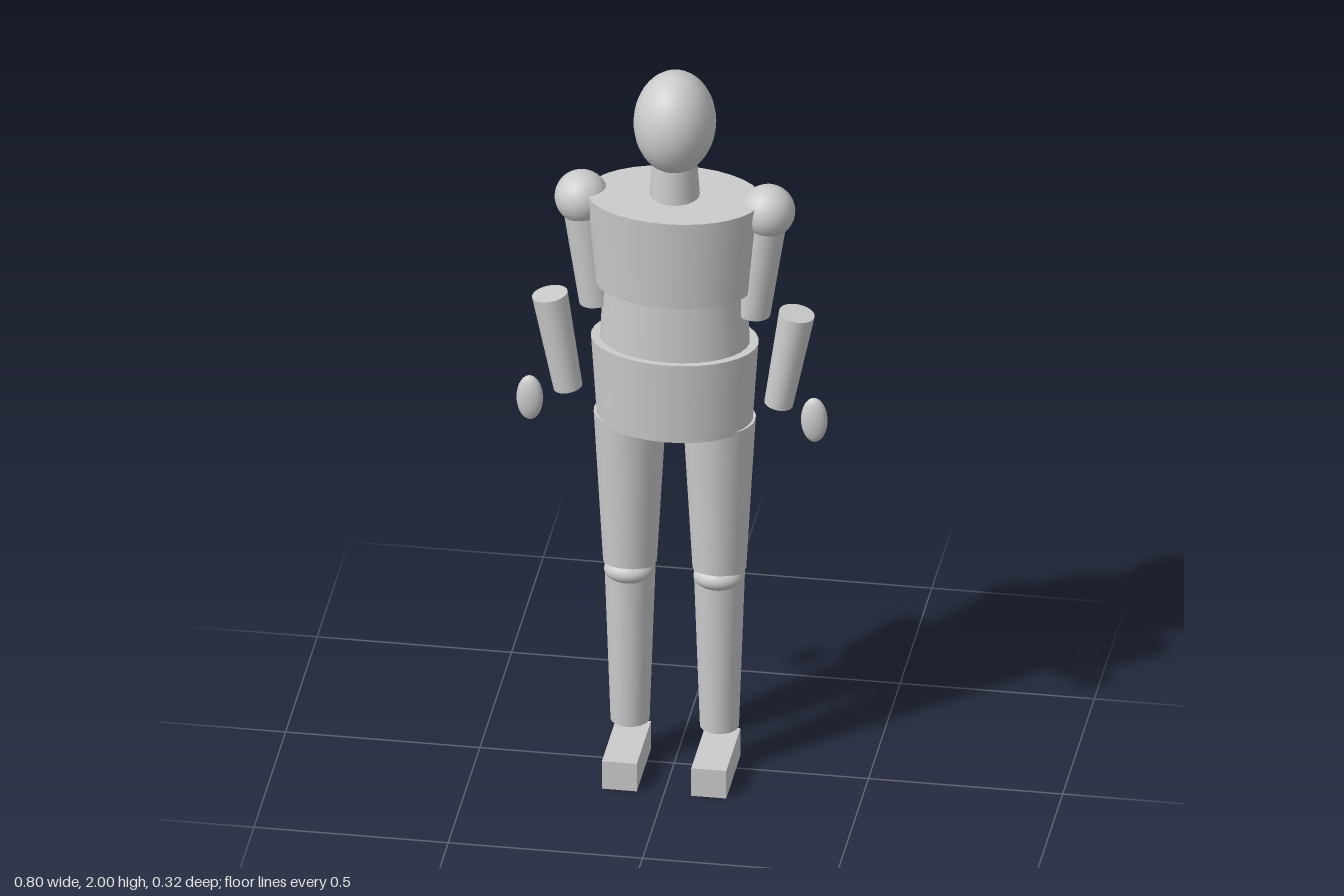
import * as THREE from 'three';

const material = new THREE.MeshStandardMaterial({ color: 0xcccccc });

function add(group, name, geometry, x, y, z) {
  const mesh = new THREE.Mesh(geometry, material);
  mesh.name = name;
  mesh.position.set(x, y, z);
  group.add(mesh);
  return mesh;
}

// Ellipsoid with radii rx, ry, rz
function ellipsoid(group, name, [x, y, z], [rx, ry, rz]) {
  const geometry = new THREE.SphereGeometry(1, 32, 20).scale(rx, ry, rz);
  return add(group, name, geometry, x, y, z);
}

// Upright tapered oval block; depth is the z radius divided by the x radius
function ovalBlock(group, name, yBottom, yTop, rBottom, rTop, depth, z) {
  const geometry = new THREE.CylinderGeometry(rTop, rBottom, yTop - yBottom, 32);
  geometry.scale(1, 1, depth);
  return add(group, name, geometry, 0, (yBottom + yTop) / 2, z);
}

// Tapered limb running between two points
function limb(group, name, bottom, top, rBottom, rTop) {
  const a = new THREE.Vector3(...bottom);
  const b = new THREE.Vector3(...top);
  const axis = b.clone().sub(a);
  const geometry = new THREE.CylinderGeometry(rTop, rBottom, axis.length(), 24);
  const mid = a.add(b).multiplyScalar(0.5);
  const mesh = add(group, name, geometry, mid.x, mid.y, mid.z);
  mesh.quaternion.setFromUnitVectors(new THREE.Vector3(0, 1, 0), axis.normalize());
  return mesh;
}

export function createModel() {
  const model = new THREE.Group();
  model.name = 'mannequin';

  // Head and torso
  ellipsoid(model, 'head', [0, 1.863, -0.011], [0.105, 0.137, 0.117]);
  ovalBlock(model, 'neck', 1.64, 1.77, 0.065, 0.056, 1, -0.008);
  ovalBlock(model, 'chest', 1.4, 1.655, 0.202, 0.225, 0.68, 0);
  ovalBlock(model, 'waist', 1.22, 1.41, 0.193, 0.183, 0.7, -0.011);
  ovalBlock(model, 'pelvis', 1.005, 1.235, 0.2, 0.215, 0.695, -0.011);

  // Arms and legs, mirrored on x
  for (const [side, s] of [['left', 1], ['right', -1]]) {
    const arm = new THREE.Group();
    arm.name = side + 'Arm';
    ellipsoid(arm, 'shoulder', [s * 0.24, 1.624, -0.012], [0.069, 0.069, 0.069]);
    limb(arm, 'upperArm', [s * 0.2, 1.326, -0.011], [s * 0.239, 1.624, -0.011], 0.046, 0.053);
    limb(arm, 'forearm', [s * 0.271, 1.08, 0.013], [s * 0.318, 1.346, 0.013], 0.037, 0.046);
    ellipsoid(arm, 'hand', [s * 0.366, 1.052, 0.034], [0.034, 0.063, 0.021]);

    const leg = new THREE.Group();
    leg.name = side + 'Leg';
    const x = s * 0.115;
    limb(leg, 'thigh', [x, 0.58, -0.01], [x, 1.015, -0.01], 0.069, 0.093);
    ellipsoid(leg, 'knee', [x, 0.567, 0.02], [0.062, 0.034, 0.049]);
    limb(leg, 'shin', [x, 0.117, -0.01], [x, 0.585, -0.01], 0.05, 0.066);
    add(leg, 'foot', new THREE.BoxGeometry(0.09, 0.08, 0.225), x, 0.04, 0.048);

    model.add(arm, leg);
  }
  return model;
}
